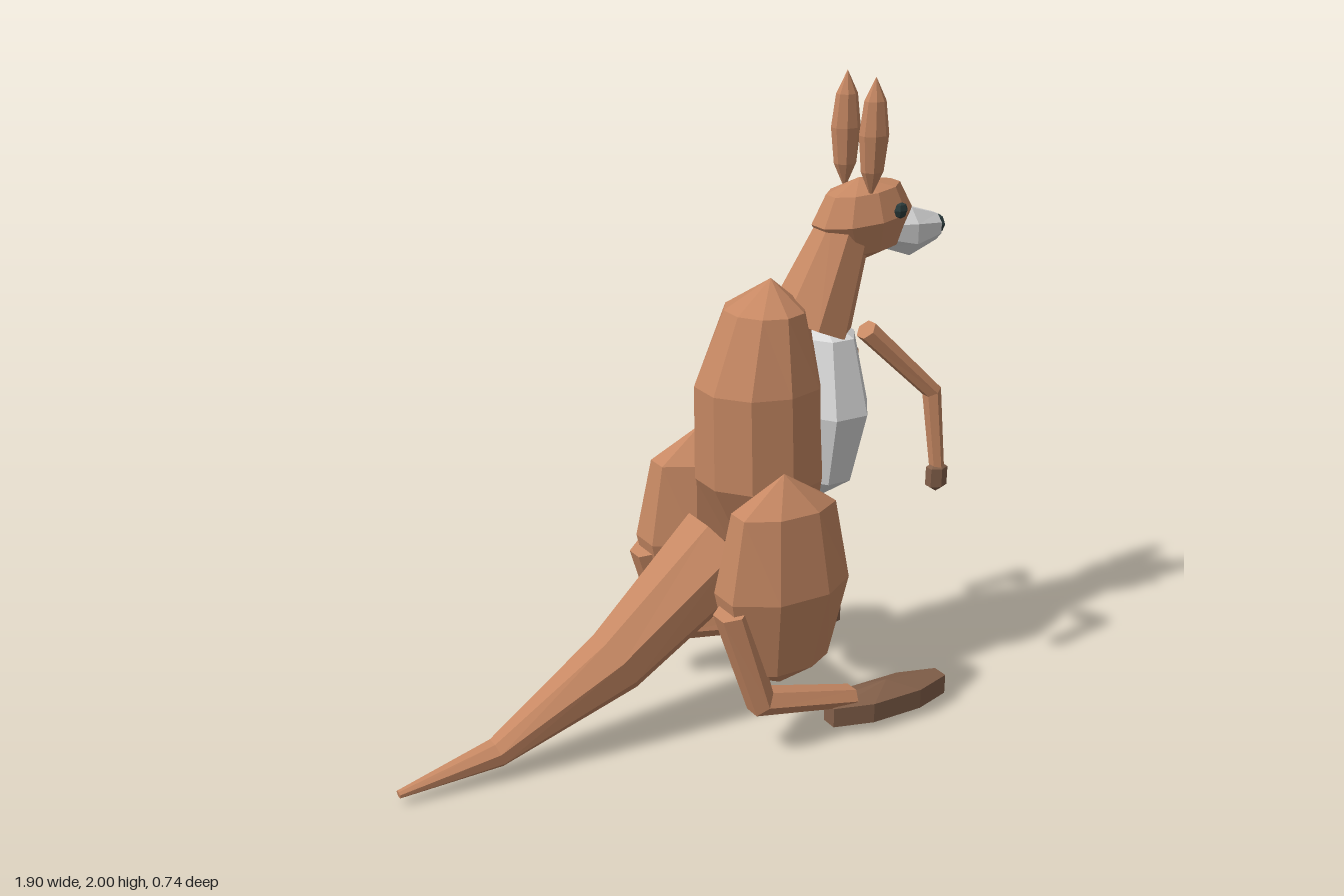
import * as THREE from 'three';

const material = (name, color) => {
  const m = new THREE.MeshStandardMaterial({ color, flatShading: true });
  m.name = name;
  return m;
};

// Rings are [x, y, z, radius in the xy plane, radius along z].
// A fixed axis keeps rings parallel; otherwise they follow the path.
function loft(rings, sides, axis) {
  const pos = [], idx = [];
  const at = (i) => new THREE.Vector2(rings[i][0], rings[i][1]);
  const last = rings.length - 1;
  rings.forEach(([x, y, z, ru, rv], i) => {
    let t = axis;
    if (!t) {
      t = new THREE.Vector2();
      if (i > 0) t.add(at(i).sub(at(i - 1)).normalize());
      if (i < last) t.add(at(i + 1).sub(at(i)).normalize());
      t.normalize();
    }
    for (let j = 0; j < sides; j++) {
      const a = ((j + 0.5) / sides) * Math.PI * 2;
      const u = Math.cos(a) * ru;
      pos.push(x + t.y * u, y - t.x * u, z + Math.sin(a) * rv);
    }
  });
  for (let i = 0; i < last; i++) {
    for (let j = 0; j < sides; j++) {
      const k = (j + 1) % sides;
      const a = i * sides + j, b = i * sides + k;
      if (rings[i + 1][3] > 0) idx.push(a, a + sides, b + sides);
      if (rings[i][3] > 0) idx.push(a, b + sides, b);
    }
  }
  // Close blunt ends
  for (const i of [0, last]) {
    if (rings[i][3] === 0) continue;
    const c = pos.length / 3;
    pos.push(rings[i][0], rings[i][1], rings[i][2]);
    for (let j = 0; j < sides; j++) {
      const a = i * sides + j, b = i * sides + ((j + 1) % sides);
      if (i === 0) idx.push(c, a, b);
      else idx.push(c, b, a);
    }
  }
  const indexed = new THREE.BufferGeometry();
  indexed.setAttribute('position', new THREE.Float32BufferAttribute(pos, 3));
  indexed.setIndex(idx);
  const g = indexed.toNonIndexed();
  g.computeVertexNormals();
  return g;
}

export function createModel() {
  const fur = material('fur', 0xc68863);
  const darkFur = material('darkFur', 0x83604a);
  const pale = material('paleFur', 0xdadada);
  const black = material('darkNose', 0x2c3c3c);
  const up = new THREE.Vector2(0, 1);
  const model = new THREE.Group();
  model.name = 'kangaroo';

  const add = (name, geometry, mat, parent = model) => {
    const mesh = new THREE.Mesh(geometry, mat);
    mesh.name = name;
    parent.add(mesh);
    return mesh;
  };

  // Torso and pale chest
  add('body', loft([
    [0.33, 0.5, 0, 0, 0],
    [0.33, 0.58, 0, 0.14, 0.13],
    [0.285, 0.8, 0, 0.21, 0.19],
    [0.275, 1.1, 0, 0.205, 0.185],
    [0.29, 1.33, 0, 0.125, 0.13],
    [0.31, 1.42, 0, 0, 0],
  ], 10, up), fur);
  add('belly', loft([
    [0.49, 0.67, 0, 0, 0],
    [0.49, 0.77, 0, 0.105, 0.145],
    [0.49, 1.0, 0, 0.146, 0.205],
    [0.49, 1.23, 0, 0.1, 0.14],
    [0.48, 1.3, 0, 0, 0],
  ], 8, up), pale);

  // Tail
  add('tail', loft([
    [0.15, 0.58, 0, 0.15, 0.15],
    [-0.23, 0.28, 0, 0.11, 0.1],
    [-0.635, 0.08, 0, 0.045, 0.05],
    [-0.95, 0.035, 0, 0.012, 0.015],
  ], 8), fur);

  // Neck and head
  add('neck', loft([
    [0.45, 1.25, 0, 0.135, 0.135],
    [0.58, 1.56, 0, 0.085, 0.075],
  ], 8), fur);
  add('head', loft([
    [0.66, 1.435, 0, 0, 0],
    [0.65, 1.475, 0, 0.12, 0.08],
    [0.635, 1.57, 0, 0.17, 0.112],
    [0.635, 1.655, 0, 0.125, 0.08],
    [0.62, 1.69, 0, 0, 0],
  ], 10, new THREE.Vector2(-0.1, 0.995)), fur);
  add('muzzle', loft([
    [0.69, 1.52, 0, 0.055, 0.055],
    [0.8, 1.505, 0, 0.082, 0.075],
    [0.91, 1.505, 0, 0.045, 0.045],
  ], 8, new THREE.Vector2(1, 0)), pale);
  const nose = add('nose', new THREE.SphereGeometry(1, 6, 4), black);
  nose.scale.set(0.026, 0.032, 0.034);
  nose.position.set(0.92, 1.51, 0);

  for (const s of [1, -1]) {
    const side = new THREE.Group();
    side.name = s > 0 ? 'nearSide' : 'farSide';
    model.add(side);
    const z = (v) => v * s;

    // Eye
    const eye = add('eye', new THREE.SphereGeometry(1, 6, 4), black, side);
    eye.scale.set(0.025, 0.025, 0.015);
    eye.position.set(0.7, 1.6, z(0.107));

    // Ear with darker inner face
    add('ear', loft([
      [0.615, 1.64, z(0.068), 0, 0],
      [0.615, 1.72, z(0.07), 0.036, 0.03],
      [0.615, 1.83, z(0.072), 0.048, 0.038],
      [0.615, 1.93, z(0.072), 0.035, 0.028],
      [0.615, 2.0, z(0.072), 0, 0],
    ], 8, up), fur, side);
    add('innerEar', loft([
      [0.643, 1.69, z(0.07), 0, 0],
      [0.645, 1.81, z(0.072), 0.018, 0.021],
      [0.643, 1.93, z(0.072), 0, 0],
    ], 6, up), darkFur, side);

    // Arm and paw
    add('arm', loft([
      [0.55, 1.265, z(0.16), 0.034, 0.036],
      [0.765, 1.05, z(0.218), 0.03, 0.03],
      [0.79, 0.78, z(0.235), 0.022, 0.024],
    ], 6), fur, side);
    add('paw', loft([
      [0.788, 0.718, z(0.235), 0, 0],
      [0.788, 0.74, z(0.235), 0.036, 0.028],
      [0.788, 0.8, z(0.235), 0.036, 0.028],
      [0.788, 0.822, z(0.235), 0, 0],
    ], 6, up), darkFur, side);

    // Haunch, shin and long foot
    add('haunch', loft([
      [0.215, 0.2, z(0.24), 0, 0],
      [0.215, 0.275, z(0.24), 0.165, 0.09],
      [0.215, 0.535, z(0.243), 0.225, 0.137],
      [0.215, 0.79, z(0.243), 0.175, 0.095],
      [0.215, 0.895, z(0.24), 0, 0],
    ], 8, up), fur, side);
    add('shin', loft([
      [0.025, 0.5, z(0.26), 0.055, 0.06],
      [0.12, 0.18, z(0.28), 0.05, 0.055],
      [0.45, 0.11, z(0.29), 0.034, 0.045],
    ], 6), fur, side);
    add('foot', loft([
      [0.585, 0.003, z(0.295), 0, 0],
      [0.585, 0.035, z(0.295), 0.235, 0.07],
      [0.585, 0.1, z(0.295), 0.235, 0.07],
      [0.585, 0.132, z(0.295), 0, 0],
    ], 8, up), darkFur, side);
  }
  return model;
}
